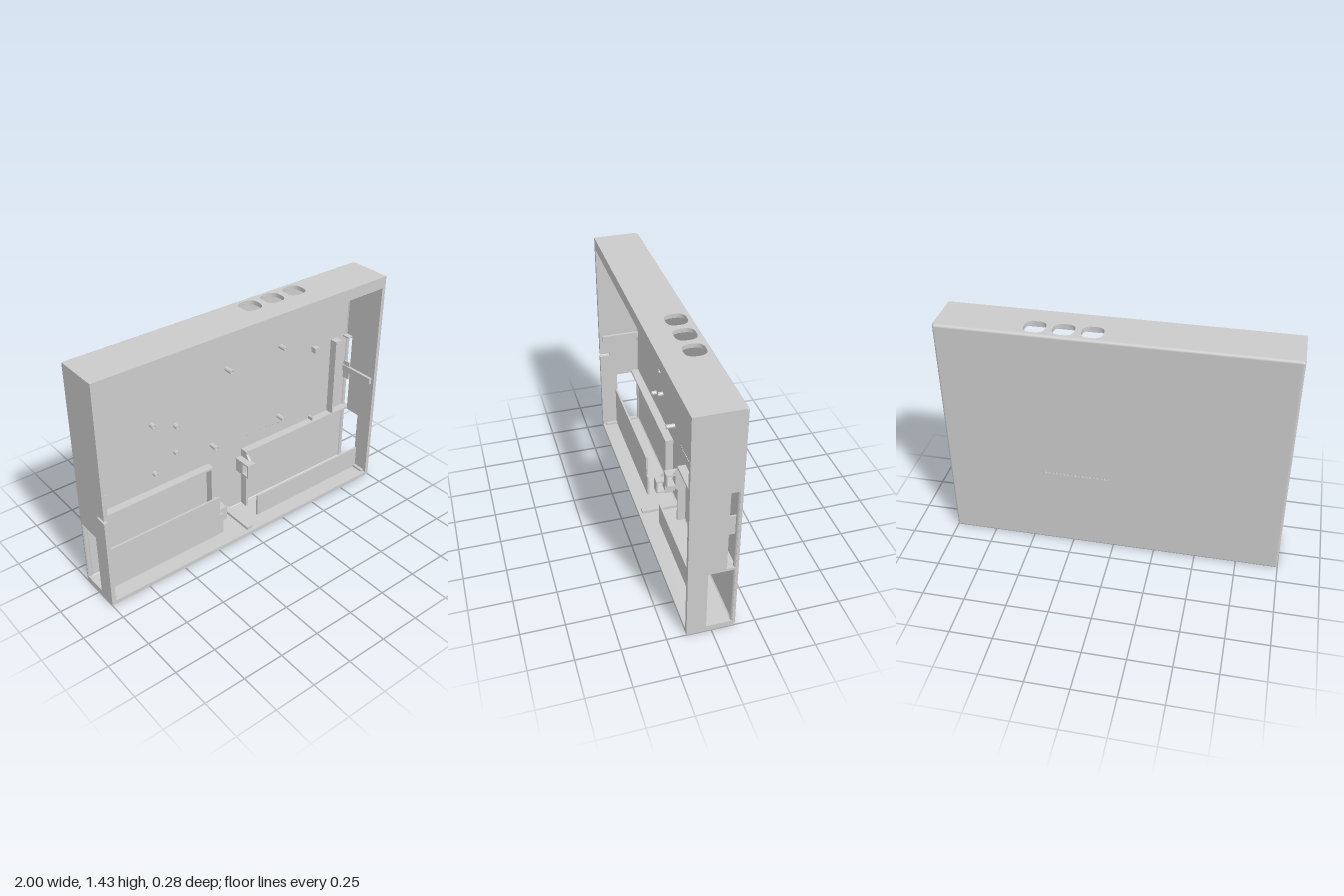
import * as THREE from 'three';

const mat = new THREE.MeshStandardMaterial({ color: 0xcccccc });
const X = new THREE.Vector3(1, 0, 0), Y = new THREE.Vector3(0, 1, 0), Z = new THREE.Vector3(0, 0, 1);

const poly = pts => pts.map(p => new THREE.Vector2(p[0], p[1]));
const rect = (u0, u1, v0, v1) => poly([[u0, v0], [u1, v0], [u1, v1], [u0, v1]]);

export function createModel() {
  const group = new THREE.Group();

  function add(name, geo) {
    const m = new THREE.Mesh(geo, mat);
    m.name = name;
    group.add(m);
    return m;
  }
  function box(name, x0, x1, y0, y1, z0, z1) {
    const m = add(name, new THREE.BoxGeometry(x1 - x0, y1 - y0, z1 - z0));
    m.position.set((x0 + x1) / 2, (y0 + y1) / 2, (z0 + z1) / 2);
    return m;
  }
  function plate(outline, holes, depth) {
    const s = new THREE.Shape(outline);
    holes.forEach(h => s.holes.push(new THREE.Path(h)));
    return new THREE.ExtrudeGeometry(s, { depth, bevelEnabled: false });
  }
  // Profile drawn in (z, y), filling x0..x1
  function sidePlate(name, x0, x1, outline, holes = []) {
    const g = plate(outline, holes, x1 - x0);
    g.applyMatrix4(new THREE.Matrix4().makeBasis(Z, Y, X.clone().negate()));
    add(name, g).position.x = x1;
  }
  // Profile drawn in (z, x), filling y0..y1
  function levelPlate(name, y0, y1, outline, holes = []) {
    const g = plate(outline, holes, y1 - y0);
    g.applyMatrix4(new THREE.Matrix4().makeBasis(Z, X, Y));
    add(name, g).position.y = y0;
  }

  const H = 1.43, F = 0.14, B = -0.14, T = 0.025, IN = -0.12, R = 0.015, E = B + R;

  // Back panel with a zigzag slit
  const upper = [], lower = [];
  const teeth = 36;
  for (let i = 0; i <= teeth; i++) {
    const x = 0.02 + 0.4 * i / teeth, y = 0.503 + (i % 2) * 0.012;
    upper.push([x, y + 0.006]);
    lower.unshift([x, y]);
  }
  add('backPanel', plate(rect(-1 + R, 1 - R, R, H - R), [poly(upper.concat(lower))], IN - B)).position.z = B;

  // Rounded edges and corners around the back panel
  for (const s of [-1, 1]) {
    const side = add('roundedSideEdge', new THREE.CylinderGeometry(R, R, H - 2 * R, 24));
    side.position.set(s * (1 - R), H / 2, E);
    const y = s < 0 ? R : H - R;
    const level = add('roundedLevelEdge', new THREE.CylinderGeometry(R, R, 2 - 2 * R, 24));
    level.rotation.z = Math.PI / 2;
    level.position.set(0, y, E);
    for (const t of [-1, 1])
      add('roundedCorner', new THREE.SphereGeometry(R, 16, 12)).position.set(t * (1 - R), y, E);
  }

  // Side walls: port openings, a tall slot on one side and a cable notch on the other
  const port = rect(-0.119, 0.03, 0.035, 0.422);
  sidePlate('leftWall', 1 - T, 1, rect(E, F, 0, H), [port, rect(-0.119, -0.07, 0.437, 0.945)]);
  sidePlate('rightWall', -1, -1 + T,
    poly([[E, 0], [F, 0], [F, 0.58], [0.075, 0.58], [0.075, 0.6], [F, 0.6], [F, H], [E, H]]), [port]);

  // Bottom wall, top wall with three button holes, stepped front lip
  levelPlate('bottomWall', 0, T, rect(E, F, -1 + T, 1 - T));
  const buttonHole = cx => {
    const pts = [];
    for (let i = 0; i < 40; i++) {
      const a = i / 40 * Math.PI * 2, c = Math.cos(a), s = Math.sin(a);
      const p = v => Math.sign(v) * Math.pow(Math.abs(v), 0.72) * 0.061;
      pts.push([-0.05 + p(c), cx + p(s)]);
    }
    return poly(pts);
  };
  levelPlate('topWall', H - T, H, rect(E, F, -1 + T, 1 - T), [0.125, 0.285, 0.445].map(buttonHole));
  box('frontLip', -1 + T, 1 - T, 1.36, H - T, 0.12, F);
  box('frontLipStep', -1 + T, 1 - T, 1.345, H - T, 0.1, 0.12);

  // Speaker compartments: low ribs, cable clips and front retaining panels
  const RIB = -0.07;
  function clip(x0, x1, g0, g1, cy) {
    sidePlate('clip', x0, x1, rect(IN, 0, cy - 0.046, cy + 0.046),
      [rect(-0.055, -0.01, cy - 0.036, cy + 0.036)]);
    for (const s of [-1, 1]) {
      const pts = [[RIB, cy + s * 0.04], [-0.04, cy + s * 0.045], [RIB, cy + s * 0.075]];
      sidePlate('clipGusset', g0, g1, poly(pts));
    }
  }
  box('rightCompartmentTop', -0.975, -0.13, 0.425, 0.44, IN, RIB);
  box('rightCompartmentSide', -0.145, -0.13, T, 0.425, IN, RIB);
  box('leftCompartmentTop', 0.122, 0.975, 0.425, 0.44, IN, RIB);
  box('leftCompartmentSide', 0.122, 0.137, T, 0.425, IN, RIB);
  clip(-0.145, -0.085, -0.145, -0.13, 0.12);
  clip(0.08, 0.136, 0.122, 0.137, 0.343);
  const panel = plate(poly([[-0.975, T], [-0.145, T], [-0.145, 0.17], [-0.17, 0.17], [-0.17, 0.303], [-0.975, 0.303]]), [], 0.012);
  add('rightRetainingPanel', panel).position.z = 0.031;
  box('leftRetainingPanel', 0.122, 0.975, T, 0.172, 0.031, 0.043);

  // Drive bay beside the tall slot, with corner brackets
  box('bayWall', 0.836, 0.846, 0.44, 0.96, IN, RIB);
  box('bayTopHook', 0.846, 0.885, 0.95, 0.96, IN, RIB);
  box('bayTopHook', 0.94, 0.975, 0.95, 0.96, IN, RIB);
  box('bracketTop', 0.675, 0.71, 0.95, 0.962, IN, -0.085);
  box('bracketSide', 0.675, 0.687, 0.927, 0.95, IN, -0.085);
  box('bracketLower', 0.675, 0.687, 0.44, 0.462, IN, -0.085);

  // Board standoffs: [x, y, height], with a screw hole
  const posts = [
    [0.013, 1.042, 0.055], [0.415, 1.055, 0.055], [-0.105, 0.567, 0.055], [0.415, 0.565, 0.055],
    [-0.513, 0.872, 0.03], [-0.355, 0.805, 0.03], [-0.365, 0.63, 0.03], [-0.513, 0.543, 0.03]];
  for (const [x, y, h] of posts) {
    const ring = new THREE.Shape().absarc(0, 0, 0.014, 0, Math.PI * 2);
    ring.holes.push(new THREE.Path().absarc(0, 0, 0.007, 0, Math.PI * 2));
    add('standoff', new THREE.ExtrudeGeometry(ring, { depth: h, bevelEnabled: false, curveSegments: 12 }))
      .position.set(x, y, IN);
  }

  // Support bars for the lid along the walls
  box('rightSupportBar', -0.975, -0.957, 0.7, 0.74, IN, 0.12);
  box('leftSupportBar', 0.957, 0.975, 0.7, 0.74, IN, 0.12);
  box('leftSupportBlock', 0.965, 0.975, 0.65, 0.77, IN, RIB);
  box('bottomSupportBar', -0.02, 0.02, T, 0.043, IN, 0.12);
  for (const s of [-1, 1])
    box('cornerSupport', s * 0.965 - 0.01, s * 0.965 + 0.01, T, 0.038, 0.02, 0.12);

  return group;
}
